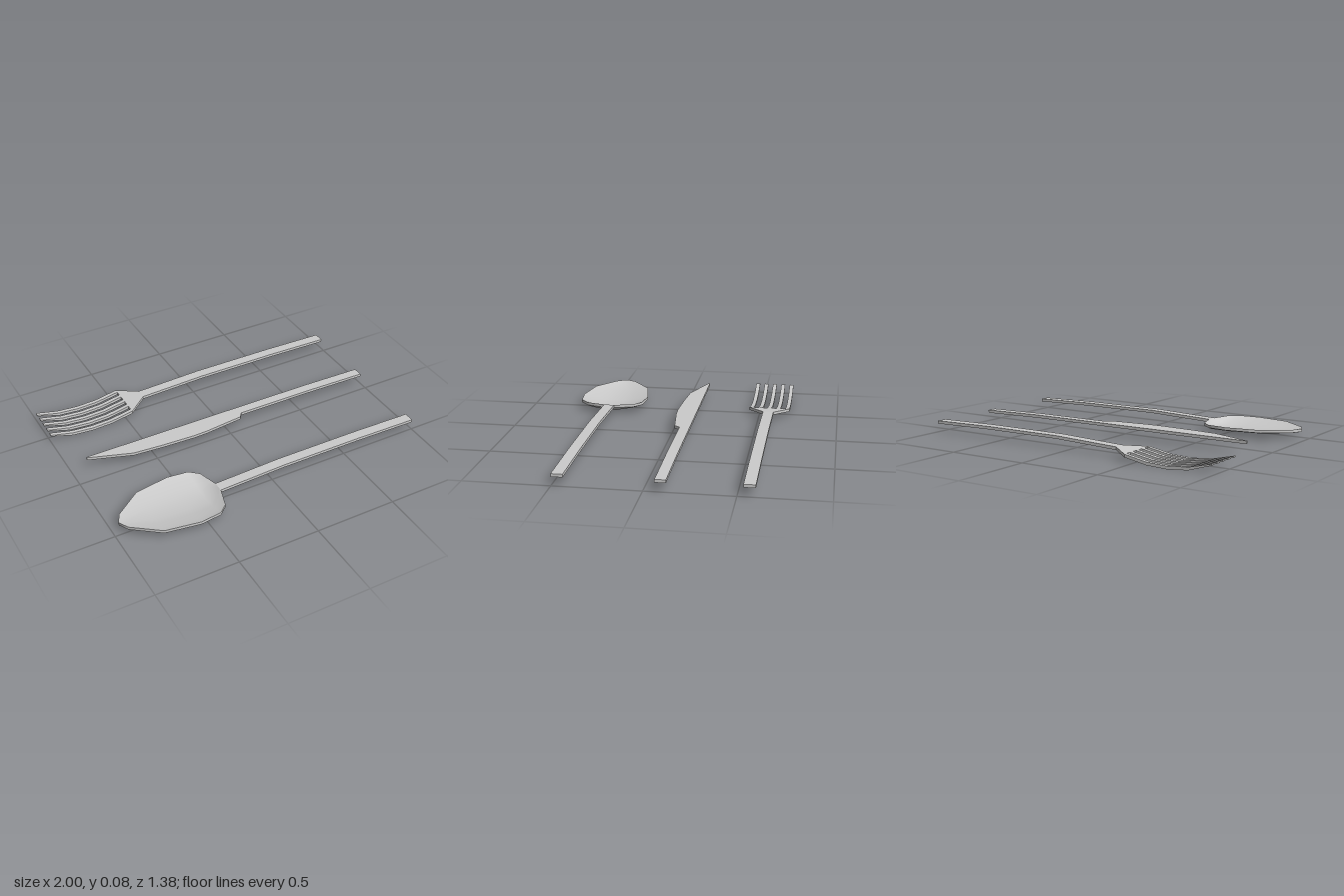
import * as THREE from 'three';
import { toCreasedNormals } from 'three/addons/utils/BufferGeometryUtils.js';

// Skin closed rings of [x, y, z] points, ordered by ascending x, and cap both ends.
function loft(rings, crease = 0.3) {
  const n = rings[0].length, last = (rings.length - 1) * n, index = [];
  for (let r = 0; r < rings.length - 1; r++) {
    for (let i = 0; i < n; i++) {
      const a = r * n + i, b = r * n + (i + 1) % n;
      index.push(a, b, a + n, b, b + n, a + n);
    }
  }
  for (let i = 1; i < n - 1; i++) {
    index.push(0, i + 1, i, last, last + i, last + i + 1);
  }
  const geometry = new THREE.BufferGeometry();
  geometry.setAttribute('position', new THREE.Float32BufferAttribute(rings.flat(2), 3));
  geometry.setIndex(index);
  return toCreasedNormals(geometry, crease);
}

// A bar with a rectangular section; each station is [x, zMin, zMax, yBottom, yTop].
const bar = (stations) => loft(stations.map(([x, z0, z1, y0, y1]) =>
  [[x, y1, z0], [x, y1, z1], [x, y0, z1], [x, y0, z0]]));

export function createModel() {
  const model = new THREE.Group();
  const metal = new THREE.MeshStandardMaterial({ color: 0xcccccc });
  const T = 0.018; // stock thickness

  const piece = (name) => {
    const group = new THREE.Group();
    group.name = name;
    model.add(group);
    return group;
  };
  const add = (group, name, geometry) => {
    const mesh = new THREE.Mesh(geometry, metal);
    mesh.name = name;
    group.add(mesh);
  };

  // Gently bowed handle shared by the fork and spoon
  const handle = (z) => bar([[-0.34, 0.06], [0.08, 0.077], [0.6, 0.077], [1, 0.07]]
    .map(([x, top]) => [x, z - 0.033, z + 0.033, top - T, top]));

  // Fork
  const fork = piece('fork');
  const forkZ = -0.566;
  add(fork, 'forkHandle', handle(forkZ));
  add(fork, 'forkNeck', bar([
    [-0.46, forkZ - 0.128, forkZ + 0.128, 0.032, 0.05],
    [-0.34, forkZ - 0.033, forkZ + 0.033, 0.042, 0.06],
  ]));
  for (let i = -2; i <= 2; i++) {
    const z = forkZ + i * 0.0575;
    add(fork, 'forkTine', bar([[-1, 0.062, 0.008], [-0.86, 0.029, T], [-0.73, 0.018, T], [-0.6, 0.024, T], [-0.46, 0.05, T]]
      .map(([x, top, t]) => [x, z - 0.013, z + 0.013, top - t, top])));
  }

  // Knife: straight spine, curved cutting edge
  const knife = piece('knife');
  const spine = -0.125;
  add(knife, 'knifeBlade', bar([[-0.9, -0.117], [-0.64, -0.025], [-0.46, -0.01], [-0.25, 0], [-0.16, -0.003], [0.085, -0.03], [0.11, -0.063]]
    .map(([x, edge]) => [x, spine, edge, 0.059, 0.077])));
  add(knife, 'knifeHandle', bar([[0.11, 0.077], [0.6, 0.077], [1, 0.07]]
    .map(([x, top]) => [x, spine, -0.063, top - T, top])));

  // Spoon: hollow bowl with stations [x, half width, depth]
  const spoon = piece('spoon');
  const spoonZ = 0.466;
  add(spoon, 'spoonHandle', handle(spoonZ));
  const across = [[-1, 0], [-0.8, 0.38], [-0.52, 0.7], [-0.28, 1], [0.28, 1], [0.52, 0.7], [0.8, 0.38], [1, 0]];
  const bowl = [
    [-0.96, 0.004, 0], [-0.93, 0.06, 0.006], [-0.77, 0.181, 0.024], [-0.56, 0.216, 0.031],
    [-0.43, 0.201, 0.036], [-0.375, 0.153, 0.025], [-0.34, 0.034, 0],
  ].map(([x, w, depth]) => {
    const top = across.map(([t, f]) => [x, 0.06 - depth * f, spoonZ + t * w]);
    return [...top, ...top.map(([px, y, z]) => [px, y - T, z]).reverse()];
  });
  add(spoon, 'spoonBowl', loft(bowl, 0.7));

  return model;
}
